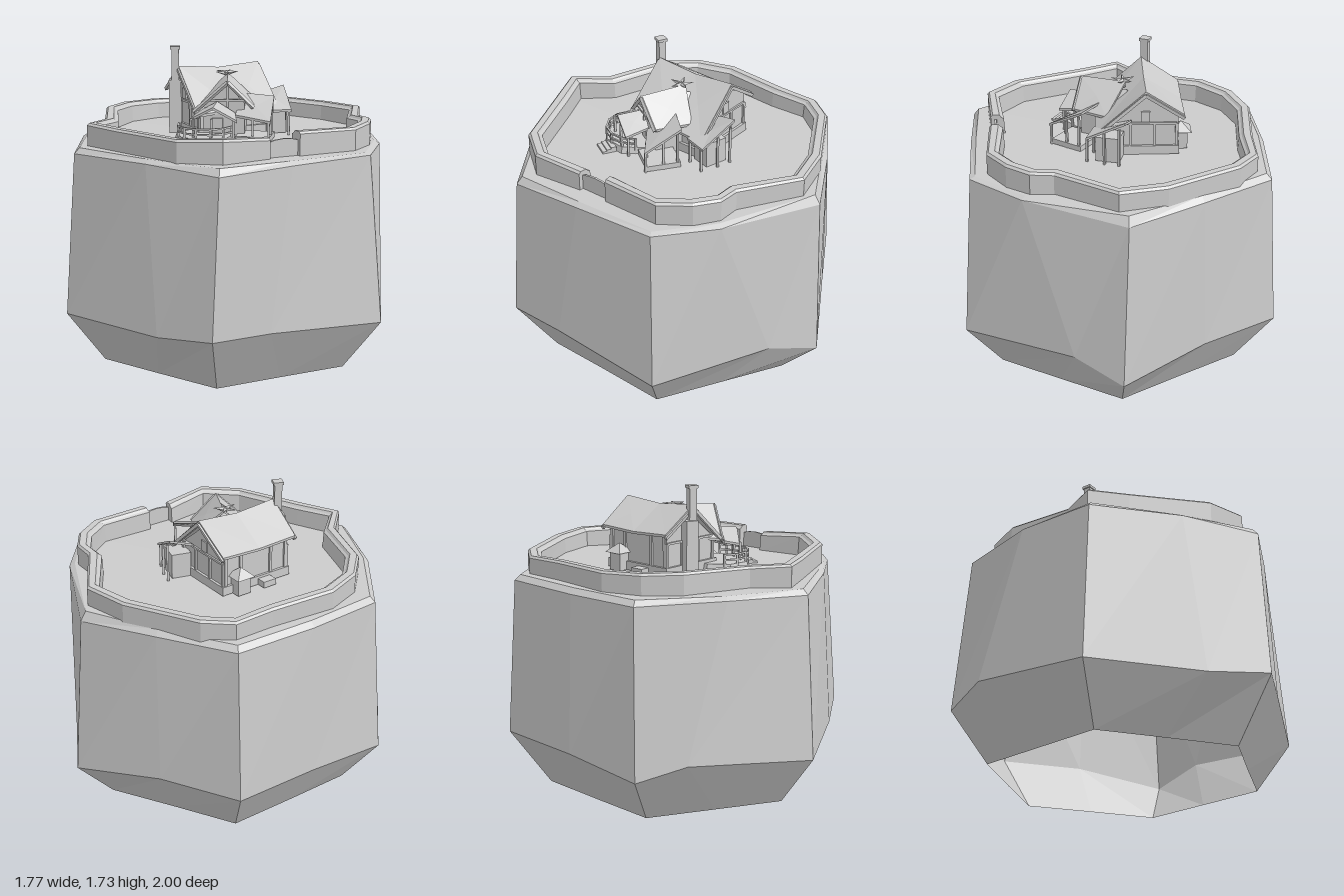
import * as THREE from 'three';

const material = new THREE.MeshStandardMaterial({ color: 0xcccccc, flatShading: true, side: THREE.DoubleSide });

function add(parent, name, geometry, x = 0, y = 0, z = 0, ry = 0) {
  const mesh = new THREE.Mesh(geometry, material);
  mesh.name = name;
  mesh.position.set(x, y, z);
  mesh.rotation.y = ry;
  parent.add(mesh);
  return mesh;
}

const box = (parent, name, w, h, d, x, y, z, ry = 0) =>
  add(parent, name, new THREE.BoxGeometry(w, h, d), x, y, z, ry);

// Skin over rows of points; each row is closed into a loop.
function loft(rows) {
  const n = rows[0].length, index = [];
  for (let r = 0; r < rows.length - 1; r++) {
    for (let i = 0; i < n; i++) {
      const a = r * n + i, b = r * n + (i + 1) % n;
      index.push(a, b, b + n, a, b + n, a + n);
    }
  }
  const g = new THREE.BufferGeometry();
  g.setAttribute('position', new THREE.Float32BufferAttribute(rows.flat(2), 3));
  g.setIndex(index);
  const flat = g.toNonIndexed();
  flat.computeVertexNormals();
  return flat;
}

// Thin board whose upper face has the four given corners.
function slab(parent, name, corners, t = 0.014) {
  const mid = [0, 1, 2].map(k => corners.reduce((s, c) => s + c[k], 0) / 4);
  const low = corners.map(([x, y, z]) => [x, y - t, z]);
  const lowMid = [mid[0], mid[1] - t, mid[2]];
  return add(parent, name, loft([corners.map(() => mid), corners, low, low.map(() => lowMid)]));
}

// Square beam from point a to point b.
function beam(parent, name, a, b, t = 0.012) {
  const p = new THREE.Vector3(...a), q = new THREE.Vector3(...b);
  const mesh = add(parent, name, new THREE.BoxGeometry(t, t, p.distanceTo(q)));
  mesh.position.copy(p).add(q).multiplyScalar(0.5);
  mesh.quaternion.setFromUnitVectors(new THREE.Vector3(0, 0, 1), q.sub(p).normalize());
  return mesh;
}

function buildRock(root) {
  const bottom = [[.01, 0, .77], [.34, 0, .58], [.68, 0, .39], [.68, 0, 0], [.68, 0, -.39], [.34, 0, -.58],
    [.01, 0, -.77], [-.33, 0, -.58], [-.66, 0, -.39], [-.66, 0, 0], [-.66, 0, .39], [-.33, 0, .58]];
  const belly = [[.01, .34, 1], [.3, .34, .83], [.88, .3, .49], [.87, .34, -.2], [.87, .25, -.5], [.42, .33, -.76],
    [.01, .33, -1], [-.42, .32, -.75], [-.84, .28, -.5], [-.89, .36, -.23], [-.85, .3, .49], [-.3, .3, .83]];
  const rim = [[.04, 1.19, .94], [.4, 1.21, .72], [.8, 1.22, .46], [.86, 1.215, .1], [.8, 1.18, -.49], [.42, 1.2, -.73],
    [.02, 1.2, -.94], [-.4, 1.2, -.72], [-.77, 1.2, -.48], [-.83, 1.21, .0], [-.79, 1.2, .46], [-.36, 1.21, .74]];
  const ledge = rim.map(([x, , z]) => [x * .965, 1.23, z * .965]);
  add(root, 'rockBase', loft([bottom, belly, rim, ledge]));
  add(root, 'courtyardFloor', loft([ledge, ledge.map(() => [0, 1.24, 0])]));
}

function buildWall(root) {
  // outline from one side of the gate round to the other: x, z, top height
  const path = [[.43, .57, 1.36], [.72, .4, 1.355], [.8, .23, 1.36], [.81, .08, 1.355], [.75, -.03, 1.35], [.76, -.41, 1.34],
    [.58, -.6, 1.335], [.2, -.83, 1.335], [.02, -.855, 1.33], [-.18, -.74, 1.335], [-.52, -.58, 1.34], [-.67, -.41, 1.345],
    [-.73, -.2, 1.35], [-.67, .18, 1.345], [-.73, .39, 1.355], [-.55, .53, 1.35], [-.19, .8, 1.35], [.05, .83, 1.36], [.28, .66, 1.34]];
  const section = (x, z, top) => [[0, 1.21], [0, top - .012], [.012, top], [.05, top], [.06, top - .012], [.075, top - .02], [.08, 1.225]]
    .map(([inset, y]) => {
      const s = 1 - inset / Math.hypot(x, z);
      return [x * s, y, z * s];
    });
  const rows = path.map(p => section(...p));
  const cap = row => row.map(() => [(row[0][0] + row[6][0]) / 2, 1.28, (row[0][2] + row[6][2]) / 2]);
  add(root, 'perimeterWall', loft([cap(rows[0]), ...rows, cap(rows.at(-1))]));

  // low gate panel with an arched top
  const gate = new THREE.Shape();
  gate.moveTo(-.1, 0);
  gate.lineTo(-.1, .09);
  gate.quadraticCurveTo(0, .125, .1, .09);
  gate.lineTo(.1, 0);
  add(root, 'gate', new THREE.ExtrudeGeometry(gate, { depth: .012, bevelEnabled: false, curveSegments: 4 }), .34, 1.22, .585, .53);
}

function buildMainHouse(root) {
  const house = new THREE.Group();
  house.name = 'mainHouse';
  house.position.set(-.06, 1.24, -.13);
  house.rotation.y = Math.PI / 6;
  root.add(house);

  // gabled body, profile runs across the ridge
  const profile = new THREE.Shape([[.17, 0], [-.21, 0], [-.21, .17], [0, .34], [.17, .24]].map(p => new THREE.Vector2(...p)));
  add(house, 'houseBody', new THREE.ExtrudeGeometry(profile, { depth: .42, bevelEnabled: false }), -.21, 0, 0, Math.PI / 2);
  box(house, 'stoneFooting', .45, .05, .41, 0, .025, .02);

  // sagging roof halves on each side of the ridge
  for (const s of [-1, 1]) {
    slab(house, 'backRoof', [[0, .36, 0], [s * .25, .38, 0], [s * .24, .24, -.21], [0, .23, -.21]]);
    slab(house, 'frontRoof', [[0, .36, 0], [s * .25, .38, 0], [s * .25, .14, .27], [0, .16, .27]]);
    beam(house, 'bargeBoard', [s * .25, .36, 0], [s * .24, .22, -.21], .018);
    beam(house, 'bargeBoard', [s * .25, .36, 0], [s * .25, .125, .27], .018);
    for (const z of [-.17, -.05, .08, .2]) box(house, 'timberPost', .016, .18, .016, s * .212, .09, z);
    beam(house, 'timberRail', [s * .214, .18, -.17], [s * .214, .18, .2]);
    box(house, 'endWindow', .012, .06, .05, s * .212, .22, 0);
  }
  for (const x of [-.2, -.1, .1, .2]) box(house, 'backPost', .016, .22, .016, x, .11, -.172);

  // small bay and step at the back
  box(house, 'backBay', .08, .1, .07, .12, .05, -.2);
  add(house, 'backBayRoof', new THREE.ConeGeometry(.08, .05, 4), .12, .125, -.2, Math.PI / 4);
  box(house, 'backStep', .08, .035, .06, -.05, .018, -.21);

  // chimney with a wider cap
  const chimney = new THREE.Group();
  chimney.name = 'chimney';
  root.add(chimney);
  box(chimney, 'chimneyFoot', .07, .3, .07, -.3, 1.39, -.03, .1);
  box(chimney, 'chimneyStack', .042, .2, .042, -.297, 1.625, -.02, .1);
  box(chimney, 'chimneyCap', .055, .016, .055, -.297, 1.722, -.02, .1);
}

function buildFrontGable(root) {
  const gable = new THREE.Group();
  gable.name = 'frontGable';
  root.add(gable);
  const wall = new THREE.Shape([[-.12, 1.24], [.11, 1.24], [.11, 1.44], [.015, 1.54], [-.12, 1.42]].map(p => new THREE.Vector2(...p)));
  add(gable, 'gableBody', new THREE.ExtrudeGeometry(wall, { depth: .24, bevelEnabled: false }), 0, 0, -.07);
  const back = [0, 1.58, -.05], tip = [.02, 1.57, .22];
  slab(gable, 'gableRoofLeft', [back, tip, [.16, 1.43, .19], [.17, 1.43, -.02]]);
  slab(gable, 'gableRoofRight', [back, tip, [-.17, 1.4, .2], [-.16, 1.42, .04]]);
  beam(gable, 'bargeBoard', [.02, 1.56, .215], [.16, 1.42, .19], .018);
  beam(gable, 'bargeBoard', [.02, 1.56, .215], [-.17, 1.39, .2], .018);
  beam(gable, 'collarBeam', [-.08, 1.46, .2], [.12, 1.46, .2]);
  beam(gable, 'brace', [.02, 1.54, .2], [.02, 1.42, .2]);

  // spiky ornament on the ridge
  for (let i = 0; i < 5; i++) {
    const a = i * Math.PI * .4;
    const spike = add(gable, 'ridgeSpike', new THREE.ConeGeometry(.016, .07, 4), -.01 + Math.cos(a) * .035, 1.585, -.03 + Math.sin(a) * .035);
    spike.quaternion.setFromUnitVectors(new THREE.Vector3(0, 1, 0), new THREE.Vector3(Math.cos(a), .15, Math.sin(a)).normalize());
  }
}

function buildPorches(root) {
  const porch = new THREE.Group();
  porch.name = 'porches';
  root.add(porch);
  const post = (x, z, top) => box(porch, 'porchPost', .012, top - 1.23, .012, x, (top + 1.23) / 2, z);

  // lean-to on the right-hand end
  slab(porch, 'sideRoof', [[.18, 1.45, -.18], [.31, 1.49, -.21], [.365, 1.38, 0], [.22, 1.38, .03]]);
  box(porch, 'sideRoom', .11, .14, .13, .26, 1.31, -.09, .25);
  for (const [x, z, top] of [[.35, 0, 1.37], [.34, -.1, 1.42], [.32, -.18, 1.45], [.24, .02, 1.37]]) post(x, z, top);

  // canopy beside the front gable
  slab(porch, 'cornerRoof', [[.1, 1.48, .05], [.27, 1.47, .08], [.26, 1.36, .29], [.06, 1.38, .2]]);
  for (const [x, z, top] of [[.25, .28, 1.355], [.16, .24, 1.36], [.255, .18, 1.4], [.26, .1, 1.44]]) post(x, z, top);
  box(porch, 'cornerDeck', .19, .03, .19, .17, 1.255, .17, -.1);

  // gabled entrance porch
  slab(porch, 'entranceRoofRight', [[-.04, 1.45, .18], [-.05, 1.44, .33], [-.18, 1.37, .3], [-.15, 1.39, .19]]);
  slab(porch, 'entranceRoofLeft', [[-.04, 1.45, .18], [-.05, 1.44, .33], [.08, 1.37, .33], [.06, 1.39, .19]]);
  for (const x of [-.16, -.06, .06]) post(x, .31, 1.375);
  box(porch, 'entranceDoor', .06, .11, .01, -.04, 1.3, .176);

  // rounded front deck with a railing
  add(porch, 'frontDeck', new THREE.CylinderGeometry(.165, .175, .035, 8), -.1, 1.255, .215);
  const rail = [];
  for (let i = 0; i <= 6; i++) {
    const a = Math.PI * (.1 + i * .16);
    rail.push([-.1 + Math.cos(a) * .155, .215 + Math.sin(a) * .155]);
  }
  rail.forEach(([x, z], i) => {
    post(x, z, 1.33);
    if (i) for (const y of [1.295, 1.325]) beam(porch, 'railing', [rail[i - 1][0], y, rail[i - 1][1]], [x, y, z], .01);
  });
  for (let i = 0; i < 3; i++) box(porch, 'frontStep', .1, .03 - i * .009, .03, -.06, 1.25 - i * .004, .37 + i * .025);
}

export function createModel() {
  const root = new THREE.Group();
  root.name = 'houseOnRock';
  buildRock(root);
  buildWall(root);
  buildMainHouse(root);
  buildFrontGable(root);
  buildPorches(root);
  return root;
}
